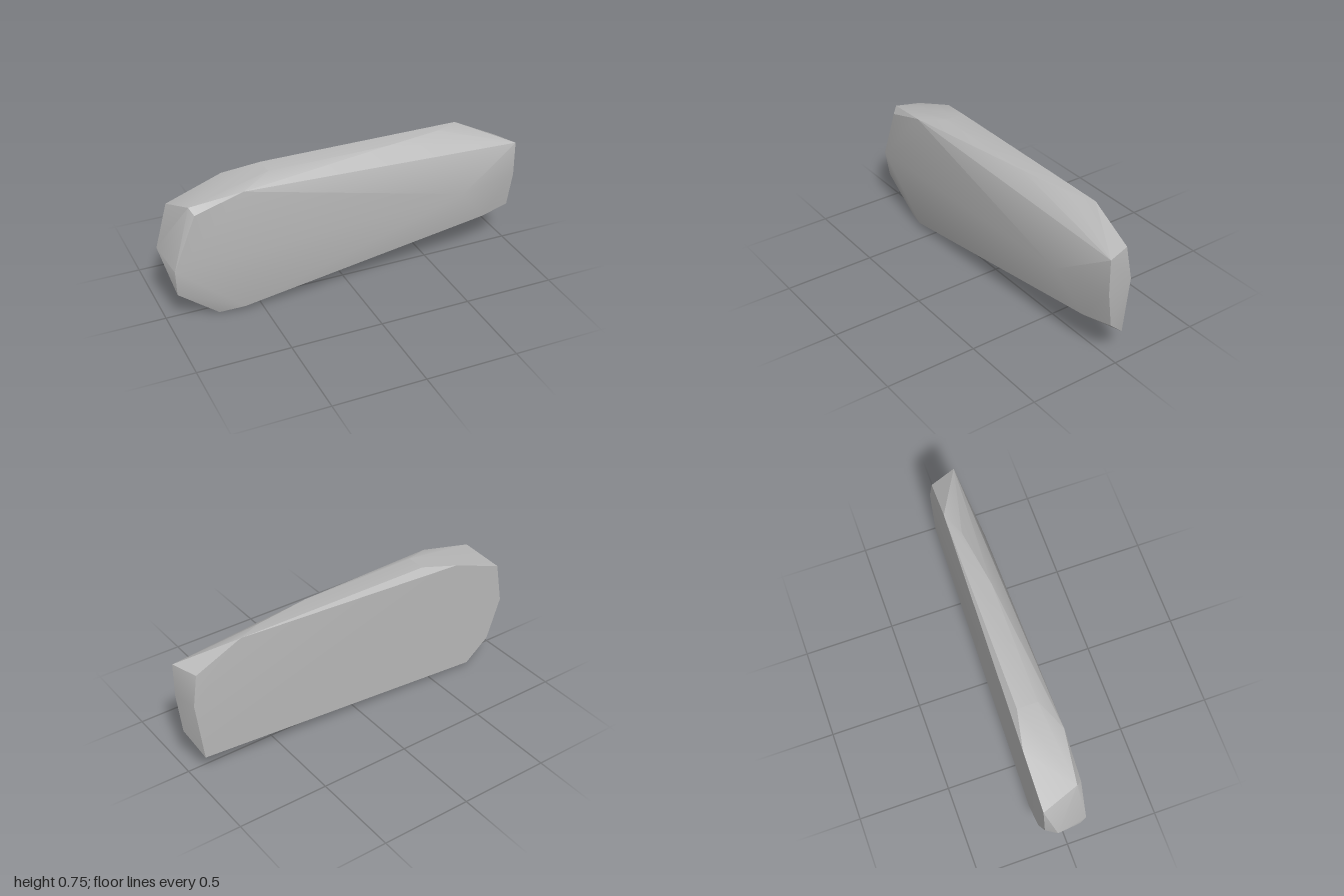
import * as THREE from 'three';
import { ConvexGeometry } from 'three/addons/geometries/ConvexGeometry.js';
import { toCreasedNormals } from 'three/addons/utils/BufferGeometryUtils.js';

export function createModel() {
  const group = new THREE.Group();
  group.name = 'stoneSlab';
  const stone = new THREE.MeshStandardMaterial({ color: 0xb8b8b8 });
  stone.name = 'stone grey';

  // Front face corners, bulging toward the left half
  const front = [
    [-0.96, 0.33, 0.1], [-0.84, 0.63, 0.1], [-0.58, 0.71, 0.105],
    [-0.95, 0.18, 0.08], [-0.6, 0.03, 0.105], [0.66, 0.42, 0.125],
    [0.82, 0.215, 0.067],
  ];
  // Flat back face corners
  const back = [
    [-0.62, 0.71, -0.125], [-0.92, 0.6, -0.125], [-0.96, 0.37, -0.125],
    [-0.88, 0.14, -0.125], [-0.74, 0.026, -0.125],
  ];
  // Chipped ends
  const ends = [
    [-1, 0.39, -0.07], [-0.86, 0.665, 0.07],
    [1, 0.633, 0.067], [1, 0.44, 0.067], [0.99, 0.237, 0.035],
    [0.98, 0.46, -0.085], [0.95, 0.627, -0.075], [0.94, 0.12, -0.085],
  ];
  // Top ridge and bottom edge
  const rims = [
    [-0.42, 0.75, -0.085], [-0.42, 0.75, 0.025], [0.25, 0.75, 0.02],
    [0.57, 0.75, -0.03], [0.7, 0.75, -0.085],
    [-0.73, 0.003, 0.065], [-0.7, 0, -0.075],
  ];

  const points = [...front, ...back, ...ends, ...rims].map((p) => new THREE.Vector3(...p));
  const slab = new THREE.Mesh(toCreasedNormals(new ConvexGeometry(points), 0.5), stone);
  slab.name = 'slab';
  group.add(slab);
  return group;
}
